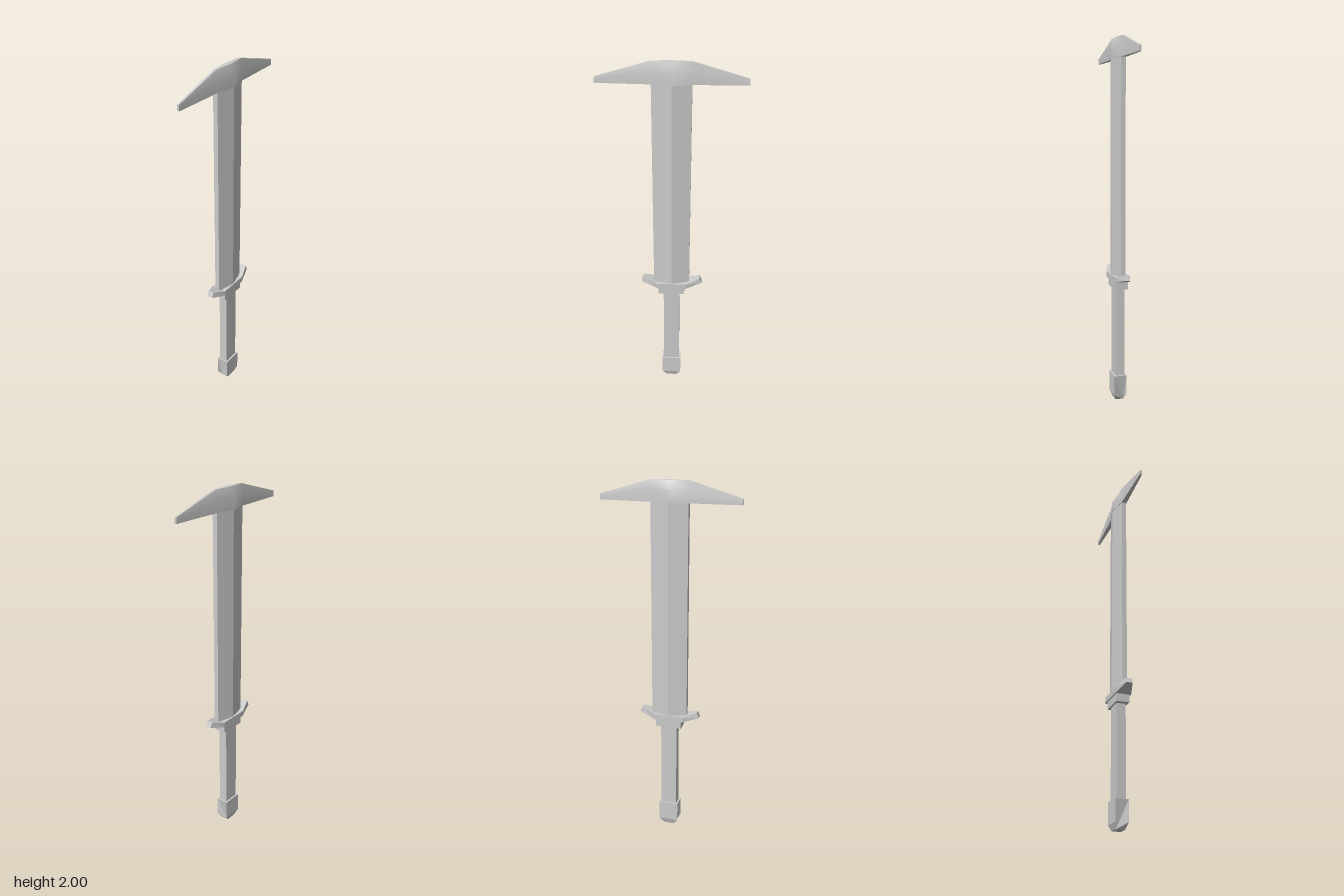
import * as THREE from 'three';
import { toCreasedNormals } from 'three/addons/utils/BufferGeometryUtils.js';

// Skin a row of closed rings (running toward +x, each counter-clockwise seen from +x) and cap both ends.
function loft(rings) {
  const pos = [];
  const tri = (...p) => p.forEach((v) => pos.push(...v));
  const n = rings[0].length;
  for (let r = 0; r < rings.length - 1; r++) {
    const a = rings[r], b = rings[r + 1];
    for (let i = 0; i < n; i++) {
      const j = (i + 1) % n;
      tri(a[i], a[j], b[j]);
      tri(a[i], b[j], b[i]);
    }
  }
  const first = rings[0], last = rings[rings.length - 1];
  for (let i = 1; i < n - 1; i++) {
    tri(first[0], first[i + 1], first[i]);
    tri(last[0], last[i], last[i + 1]);
  }
  const geo = new THREE.BufferGeometry();
  geo.setAttribute('position', new THREE.Float32BufferAttribute(pos, 3));
  geo.computeVertexNormals();
  return geo;
}

// Ring from levels [x, y, halfDepth] listed bottom to top, mirrored front to back.
function ring(levels) {
  const back = levels.map(([x, y, z]) => [x, y, -z]);
  const front = levels.map(([x, y, z]) => [x, y, z]).reverse();
  return [...back, ...front];
}

// Mirror the stations given for x >= 0 to the other side.
function mirrored(stations) {
  const left = stations.map((s) => s.map(([x, y, z]) => [-x, y, z])).reverse();
  if (stations[0][0][0] === 0) left.pop();
  return loft([...left, ...stations].map(ring));
}

export function createModel() {
  const group = new THREE.Group();
  const add = (name, geo, flat = true) => {
    const mat = new THREE.MeshStandardMaterial({ color: 0xcccccc, flatShading: flat });
    const mesh = new THREE.Mesh(geo, mat);
    mesh.name = name;
    group.add(mesh);
    return mesh;
  };
  const block = (name, hx, y0, y1, hz) =>
    add(name, new THREE.BoxGeometry(hx * 2, y1 - y0, hz * 2)).position.set(0, (y0 + y1) / 2, 0);

  // Blade: flattened six-sided bar with a central ridge on each face
  const outline = [[0.1, -0.013], [0.1, 0.013], [0, 0.038], [-0.1, 0.013], [-0.1, -0.013], [0, -0.038]];
  const section = new THREE.Shape(outline.map(([x, z]) => new THREE.Vector2(x, z)));
  const blade = new THREE.ExtrudeGeometry(section, { depth: 1.19, bevelEnabled: false });
  blade.rotateX(-Math.PI / 2).translate(0, 0.71, 0);
  add('blade', blade);

  // Winged head: ridge thins toward the top and toward both tips
  const head = mirrored([
    [[0, 1.89, 0.039], [0, 1.955, 0.039], [0, 2, 0.015]],
    [[0.1, 1.89, 0.015], [0.1, 1.955, 0.014], [0.1, 2, 0.007]],
    [[0.375, 1.89, 0.006], [0.375, 1.91, 0.006], [0.375, 1.92, 0.005]],
  ]);
  add('head', toCreasedNormals(head, Math.PI / 5), false);

  // Guard: flat middle with narrowing, upturned ends
  add('guard', mirrored([
    [[0.08, 0.688, 0.043], [0.085, 0.72, 0.043]],
    [[0.171, 0.716, 0.017], [0.159, 0.745, 0.017]],
  ]));

  // Collar and grip
  block('collar', 0.073, 0.645, 0.69, 0.035);
  block('grip', 0.045, 0.13, 0.65, 0.025);

  // Pommel: block with a chamfered foot
  const pommel = mirrored([
    [[0.03, 0, 0.024], [0.055, 0.033, 0.035], [0.055, 0.145, 0.035]],
  ]);
  add('pommel', pommel);

  return group;
}
